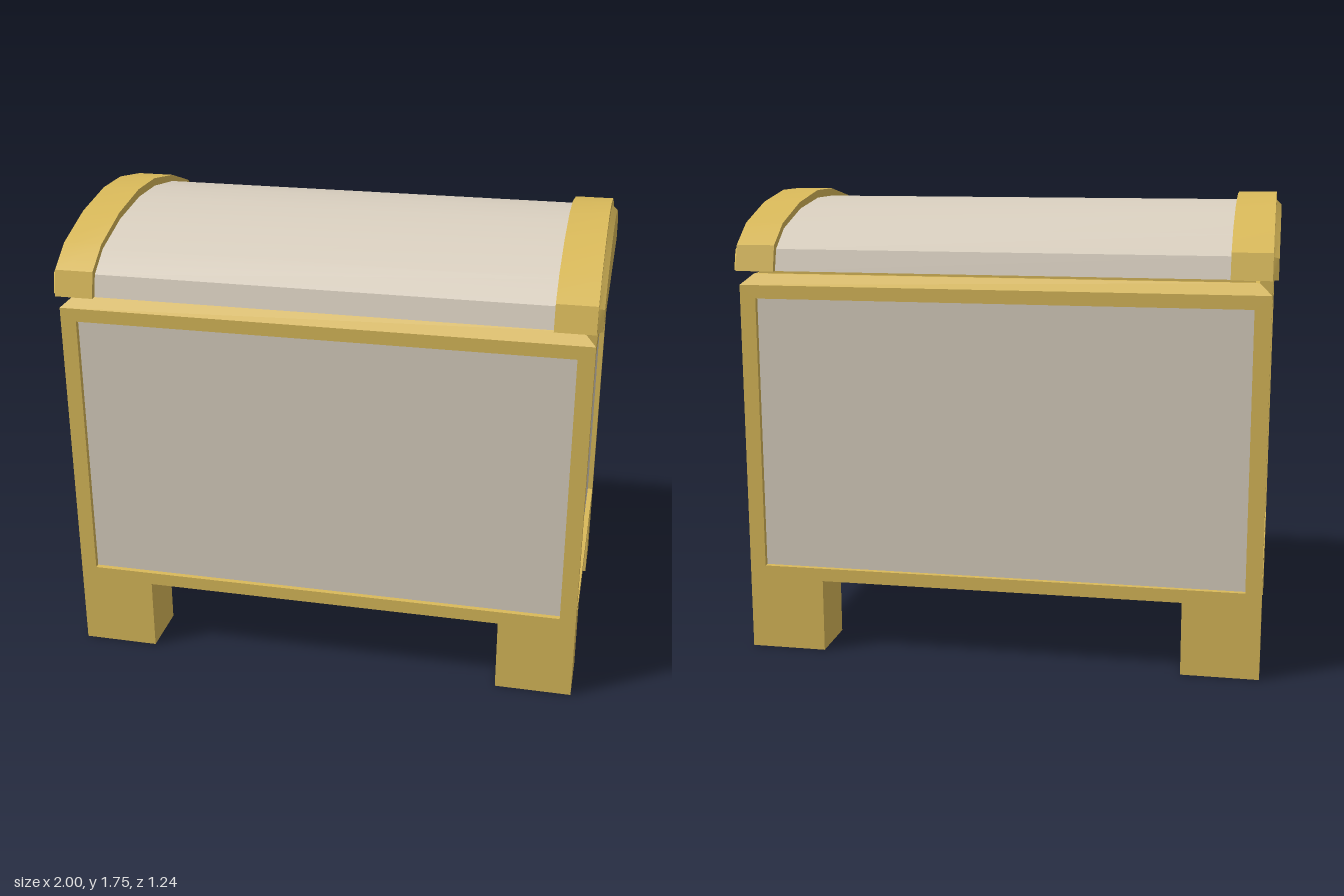
import * as THREE from 'three';
import { toCreasedNormals } from 'three/addons/utils/BufferGeometryUtils.js';

const gold = new THREE.MeshStandardMaterial({ color: 0xdaba5a });
const beige = new THREE.MeshStandardMaterial({ color: 0xdad0c0 });

const W = 0.98, D = 0.59;          // half width and half depth of the chest
const BOTTOM = 0.28, TOP = 1.42;   // body height range
const RECESS = 0.02, BORDER = 0.06;
const LID = 1.475;                 // underside of the lid

export function createModel() {
  const chest = new THREE.Group();
  chest.name = 'chest';

  function add(name, geometry, material, x = 0, y = 0, z = 0, turn = 0) {
    const mesh = new THREE.Mesh(geometry, material);
    mesh.name = name;
    mesh.position.set(x, y, z);
    mesh.rotation.y = turn;
    chest.add(mesh);
    return mesh;
  }

  // Box given by half sizes in x and z and a height range
  function slab(name, hx, hz, y0, y1, material, x = 0, z = 0) {
    return add(name, new THREE.BoxGeometry(hx * 2, y1 - y0, hz * 2), material, x, (y0 + y1) / 2, z);
  }

  // Flat rectangular frame with an opening, thickness along +z
  function frame(halfWidth, halfOpening) {
    const rect = (h, y0, y1) => [[-h, y0], [h, y0], [h, y1], [-h, y1]].map(p => new THREE.Vector2(...p));
    const shape = new THREE.Shape(rect(halfWidth, BOTTOM, TOP));
    shape.holes.push(new THREE.Path(rect(halfOpening, 0.33, 1.37)));
    return new THREE.ExtrudeGeometry(shape, { depth: RECESS, bevelEnabled: false });
  }

  // Body: recessed panels surrounded by frames
  slab('panels', W - RECESS, D - RECESS, 0.3, 1.4, beige);
  slab('floor', W - RECESS, D - RECESS, BOTTOM, 0.3, gold);
  const longFrame = frame(W, W - BORDER);
  const shortFrame = frame(D - RECESS, D - BORDER);
  add('frontFrame', longFrame, gold, 0, 0, D - RECESS);
  add('backFrame', longFrame, gold, 0, 0, RECESS - D, Math.PI);
  add('leftFrame', shortFrame, gold, W - RECESS, 0, 0, Math.PI / 2);
  add('rightFrame', shortFrame, gold, RECESS - W, 0, 0, -Math.PI / 2);

  // Sloped rim on top of the body
  const rim = new THREE.BoxGeometry(W * 2, 0.04, D * 2).toNonIndexed();
  const rp = rim.attributes.position;
  for (let i = 0; i < rp.count; i++) {
    if (rp.getY(i) > 0) {
      rp.setX(i, Math.sign(rp.getX(i)) * (W - 0.045));
      rp.setZ(i, Math.sign(rp.getZ(i)) * (D - 0.035));
    }
  }
  rim.computeVertexNormals();
  add('rim', rim, gold, 0, TOP + 0.02, 0);
  slab('lidSeat', 0.92, 0.54, 1.46, LID, gold);

  // Legs
  for (const sx of [-1, 1]) {
    for (const sz of [-1, 1]) {
      slab('leg', 0.145, 0.11, 0, BOTTOM, gold, sx * (W - 0.145), sz * (D - 0.11));
    }
  }

  // Arched solid running from x0 to x1; half profile as [z, y]
  function arch(half, x0, x1) {
    const points = [...half, ...half.map(([z, y]) => [-z, y]).reverse()];
    const shape = new THREE.Shape(points.map(([z, y]) => new THREE.Vector2(-z, y)));
    const g = new THREE.ExtrudeGeometry(shape, { depth: x1 - x0, bevelEnabled: false });
    g.rotateY(Math.PI / 2);
    return g.translate(x0, 0, 0);
  }
  const smooth = g => toCreasedNormals(g, Math.PI / 6);

  const lidProfile = [[0.6, LID], [0.58, 1.555], [0.49, 1.625], [0.3, 1.688], [0.09, 1.72]];
  const bandProfile = [[0.622, LID], [0.6, 1.57], [0.5, 1.645], [0.305, 1.713], [0.09, 1.75]];

  // Lid, its two bands and the chamfered end caps
  add('lid', smooth(arch(lidProfile, -0.85, 0.85)), beige);
  for (const s of [-1, 1]) {
    const [x0, x1] = s > 0 ? [0.835, W] : [-W, -0.835];
    add('lidBand', smooth(arch(bandProfile, x0, x1)), gold);

    const cap = arch(lidProfile, Math.min(s * 0.97, s), Math.max(s * 0.97, s));
    const p = cap.attributes.position;
    for (let i = 0; i < p.count; i++) {
      if (Math.abs(p.getX(i)) > 0.99) {
        p.setY(i, LID + (p.getY(i) - LID) * 0.92);
        p.setZ(i, p.getZ(i) * 0.975);
      } else {
        p.setX(i, s * W);
      }
    }
    cap.computeVertexNormals();
    add('lidEndCap', smooth(cap), gold);
  }

  return chest;
}
